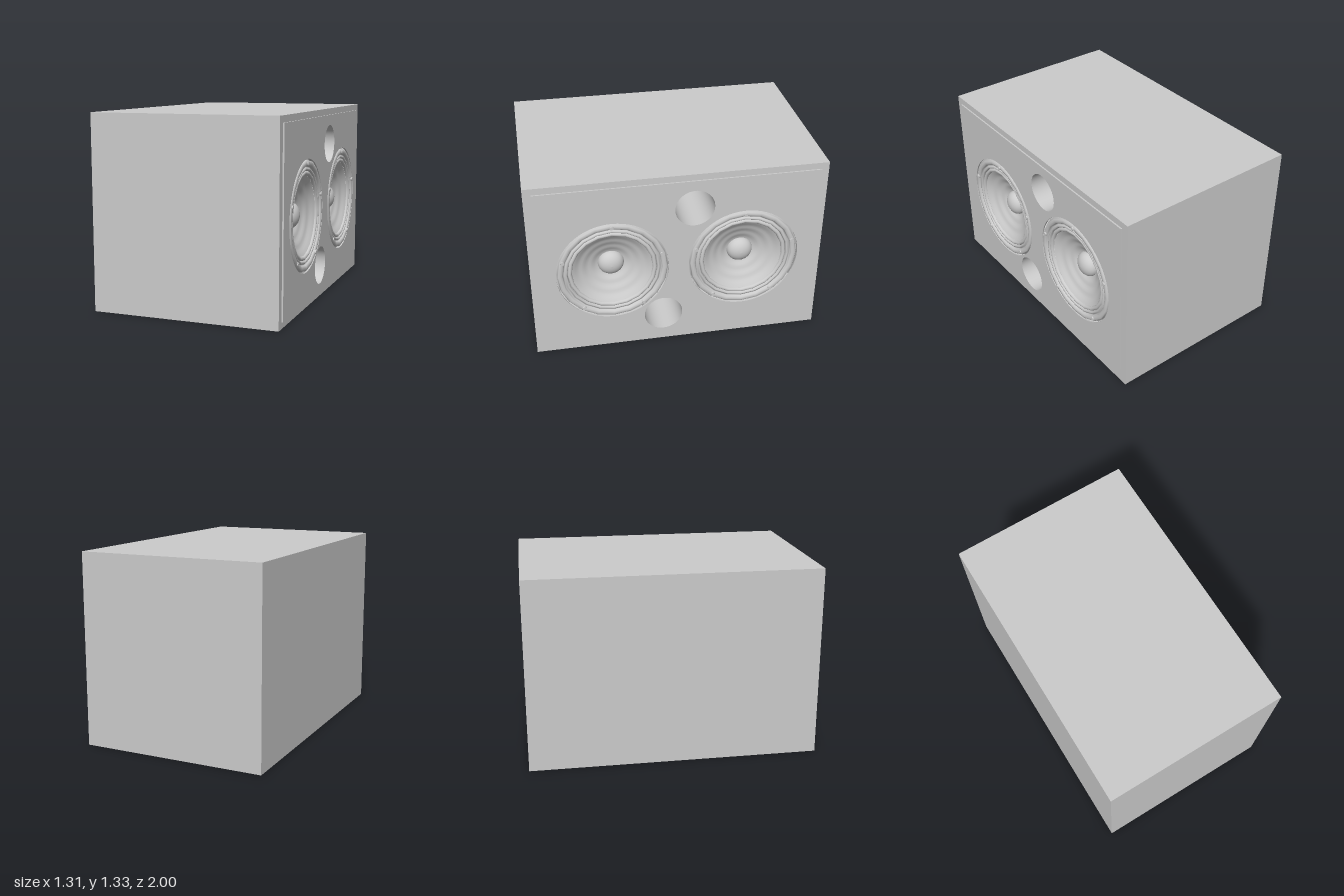
import * as THREE from 'three';

const W = 2, H = 1.325, BACK = -0.655, FACE = 0.635, PLATE = 0.01;
// On the baffle, local x runs along -z, local y is up and local z points out (+x)
const DRIVERS = [[-0.45, 0.635], [0.45, 0.635]];
const PORTS = [[0.105, 1.075], [-0.105, 0.23]];
const DRIVER_R = 0.382, PORT_R = 0.133;

const grey = new THREE.MeshStandardMaterial({ color: 0xcccccc });
const greyDouble = new THREE.MeshStandardMaterial({ color: 0xcccccc, side: THREE.DoubleSide });

function add(parent, name, geometry, material = grey) {
  const mesh = new THREE.Mesh(geometry, material);
  mesh.name = name;
  parent.add(mesh);
  return mesh;
}

// Rectangle pierced by the driver and port openings
function panelShape(x0, x1, y0, y1) {
  const shape = new THREE.Shape([[x0, y0], [x1, y0], [x1, y1], [x0, y1]].map(p => new THREE.Vector2(...p)));
  const cut = r => ([x, y]) => shape.holes.push(new THREE.Path().absarc(x, y, r, 0, Math.PI * 2, true));
  DRIVERS.forEach(cut(DRIVER_R));
  PORTS.forEach(cut(PORT_R));
  return shape;
}

// Surface of revolution whose axis points out of the baffle
function turned(points, sides) {
  return new THREE.LatheGeometry(points.map(p => new THREE.Vector2(...p)), sides).rotateX(Math.PI / 2);
}

function makeDriver() {
  const driver = new THREE.Group();
  driver.name = 'driver';

  // Mounting frame with stepped rings
  add(driver, 'frame', turned([
    [0.387, -0.03], [0.374, -0.03], [0.374, -0.006], [0.368, 0.002], [0.355, 0.004],
    [0.342, 0.002], [0.336, -0.006], [0.334, -0.016], [0.326, -0.016],
    [0.322, -0.006], [0.312, -0.004], [0.306, -0.01], [0.304, -0.022],
  ], 20), greyDouble);

  // Rubber roll between frame and cone
  const roll = [];
  for (let i = 0; i <= 8; i++) {
    const a = (i / 8) * Math.PI;
    roll.push([0.289 + 0.015 * Math.cos(a), -0.024 + 0.016 * Math.sin(a)]);
  }
  add(driver, 'surround', turned(roll, 20), greyDouble);

  // Gently curved cone
  const cone = [];
  for (let i = 0; i <= 14; i++) {
    const t = i / 14;
    cone.push([0.274 - 0.186 * t, -0.026 - 0.09 * Math.pow(t, 0.85) + 0.002 * Math.sin(t * Math.PI * 6)]);
  }
  add(driver, 'cone', turned(cone, 40), greyDouble);

  // Dust cap
  const dome = [];
  for (let i = 0; i <= 8; i++) {
    const a = (i / 8) * Math.PI / 2;
    dome.push([0.09 * Math.cos(a), -0.118 + 0.065 * Math.sin(a)]);
  }
  add(driver, 'dustCap', turned(dome, 32), greyDouble);

  // Five screws
  for (let i = 0; i < 5; i++) {
    const a = Math.PI / 2 + (i * Math.PI * 2) / 5;
    const screw = add(driver, 'screw', new THREE.CylinderGeometry(0.013, 0.016, 0.016, 10).rotateX(Math.PI / 2));
    screw.position.set(0.35 * Math.cos(a), 0.35 * Math.sin(a), 0.002);
  }
  return driver;
}

export function createModel() {
  const model = new THREE.Group();
  model.name = 'speakerCabinet';

  // Cabinet body, left open on the +x side
  const body = new THREE.BoxGeometry(FACE - BACK, H, W);
  body.setIndex(Array.from(body.index.array).slice(6));
  body.clearGroups();
  add(model, 'cabinet', body, greyDouble).position.set((BACK + FACE) / 2, H / 2, 0);

  // Everything on the baffle side
  const baffle = new THREE.Group();
  baffle.name = 'baffle';
  baffle.rotation.y = Math.PI / 2;
  baffle.position.x = FACE;
  model.add(baffle);

  add(baffle, 'cabinetFace', new THREE.ShapeGeometry(panelShape(-W / 2, W / 2, 0, H), 32));
  add(baffle, 'bafflePlate', new THREE.ExtrudeGeometry(
    panelShape(-0.945, 0.95, 0.045, 1.28), { depth: PLATE, bevelEnabled: false, curveSegments: 32 }));

  // Bass ports: deep tubes with closed ends
  for (const [x, y] of PORTS) {
    const port = new THREE.Group();
    port.name = 'port';
    port.position.set(x, y, 0);
    add(port, 'portTube', new THREE.CylinderGeometry(PORT_R, PORT_R, 0.42, 64, 1, true).rotateX(Math.PI / 2), greyDouble)
      .position.z = -0.2;
    add(port, 'portEnd', new THREE.CircleGeometry(PORT_R, 64)).position.z = -0.41;
    baffle.add(port);
  }

  for (const [x, y] of DRIVERS) {
    const driver = makeDriver();
    driver.position.set(x, y, PLATE);
    baffle.add(driver);
  }
  return model;
}
